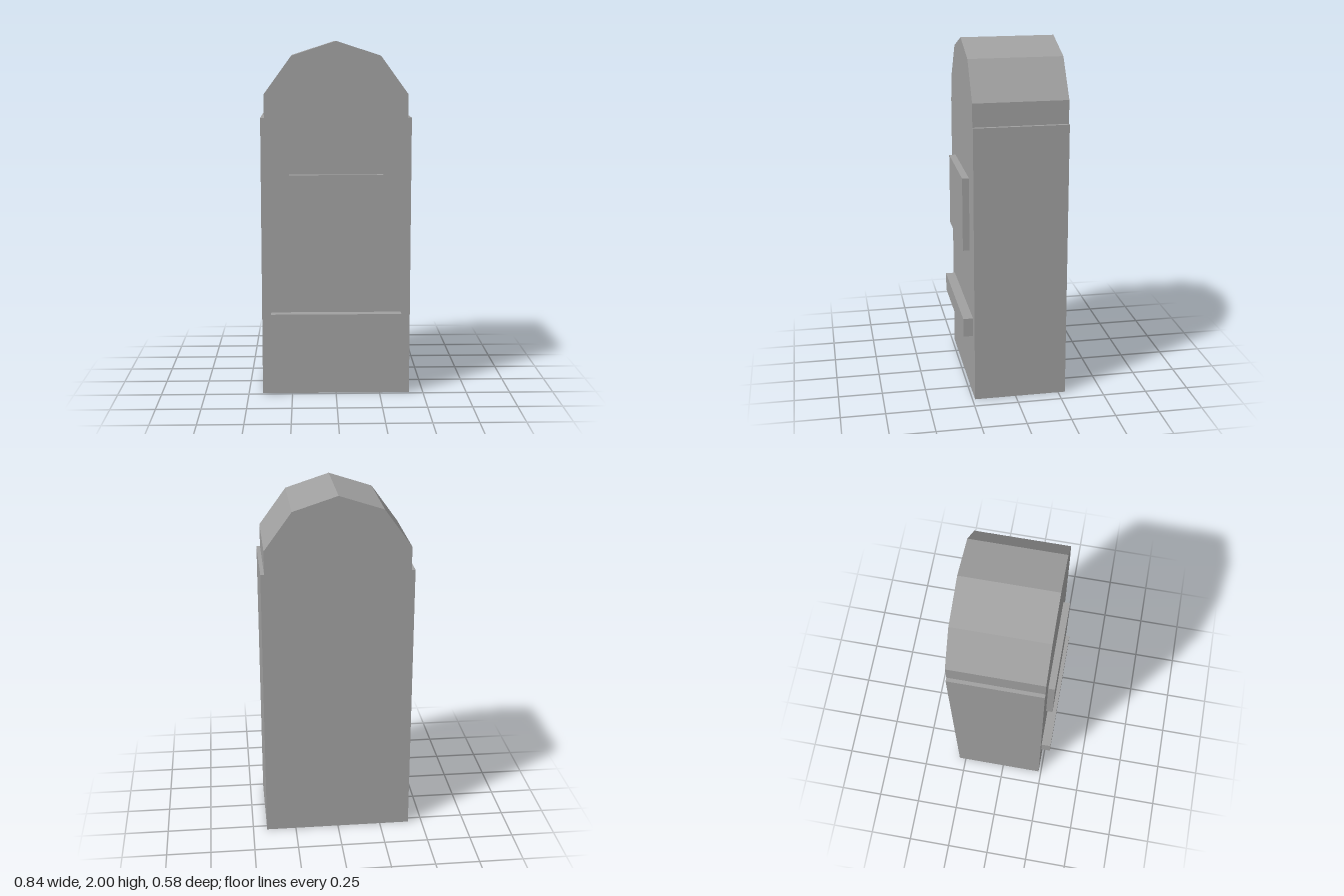
import * as THREE from 'three';

export function createModel() {
  const model = new THREE.Group();
  const stone = new THREE.MeshStandardMaterial({ color: 0xa0a0a0 });
  stone.name = 'grey stone';

  const back = -0.29, front = 0.235, halfWidth = 0.42, shoulder = 1.58;

  // Box given by its half width and its y and z ranges
  function block(name, half, y0, y1, z0, z1) {
    const mesh = new THREE.Mesh(new THREE.BoxGeometry(half * 2, y1 - y0, z1 - z0), stone);
    mesh.position.set(0, (y0 + y1) / 2, (z0 + z1) / 2);
    mesh.name = name;
    model.add(mesh);
  }

  // Upright slab
  block('slab', halfWidth, 0, shoulder, back, front);

  // Faceted arch: upper half of a ten-sided cylinder, radius equal to the half width
  const points = [18, 54, 90, 126, 162].map((degrees) => {
    const a = THREE.MathUtils.degToRad(degrees);
    return new THREE.Vector2(Math.cos(a) * halfWidth, Math.sin(a) * halfWidth);
  });
  const side = points[0].x;
  points.unshift(new THREE.Vector2(side, 0));
  points.push(new THREE.Vector2(-side, 0));
  const arch = new THREE.Mesh(
    new THREE.ExtrudeGeometry(new THREE.Shape(points), { depth: front - back, bevelEnabled: false }),
    stone
  );
  arch.position.set(0, shoulder, back);
  arch.name = 'archedTop';
  model.add(arch);

  // Raised panel and ledge on the front
  block('plaque', 0.262, 0.845, 1.265, front, 0.273);
  block('ledge', 0.368, 0.37, 0.477, front, 0.29);

  return model;
}
